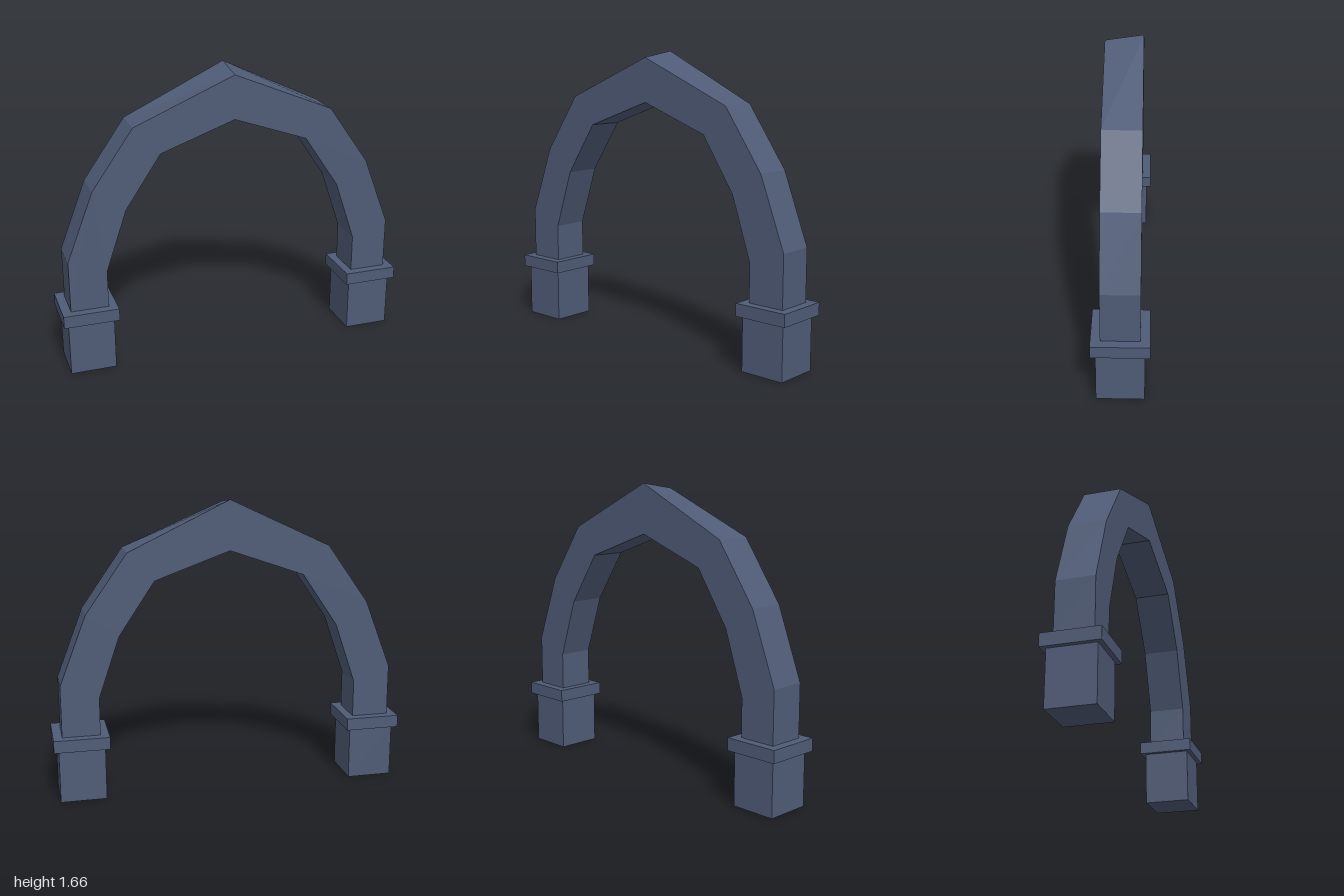
import * as THREE from 'three';

export function createModel() {
  const group = new THREE.Group();
  group.name = 'archway';
  const stone = new THREE.MeshStandardMaterial({ color: 0x4f5b76 });
  stone.name = 'slate blue stone';

  const add = (geometry, name, x = 0, y = 0, z = 0) => {
    const mesh = new THREE.Mesh(geometry, stone);
    mesh.name = name;
    mesh.position.set(x, y, z);
    group.add(mesh);
  };

  // Faceted arch: right half of the outline, mirrored to the left
  const depth = 0.208;
  const outer = [[0.95, 0.37], [0.95, 0.665], [0.8, 1.055], [0.567, 1.387]];
  const inner = [[0.42, 1.228], [0.62, 0.93], [0.738, 0.585], [0.738, 0.37]];
  const mirror = (points) => points.map(([x, y]) => [-x, y]).reverse();
  const outline = [...outer, [0, 1.625], ...mirror(outer), ...mirror(inner), [0, 1.378], ...inner];
  const shape = new THREE.Shape(outline.map(([x, y]) => new THREE.Vector2(x, y)));
  const arch = new THREE.ExtrudeGeometry(shape, { depth, bevelEnabled: false });
  arch.translate(0, 0, -depth / 2);

  // The peak rises slightly towards the back
  const p = arch.attributes.position;
  for (let i = 0; i < p.count; i++) {
    if (p.getY(i) > 1.6 && p.getZ(i) < 0) p.setY(i, 1.657);
  }
  arch.computeVertexNormals();
  add(arch, 'arch');

  // Plinth and capping slab under each leg
  for (const [side, label] of [[1, 'left'], [-1, 'right']]) {
    add(new THREE.BoxGeometry(0.257, 0.302, 0.257), label + 'Plinth', side * 0.844, 0.151, 0);
    add(new THREE.BoxGeometry(0.31, 0.07, 0.31), label + 'Cap', side * 0.845, 0.337, 0);
  }
  return group;
}
